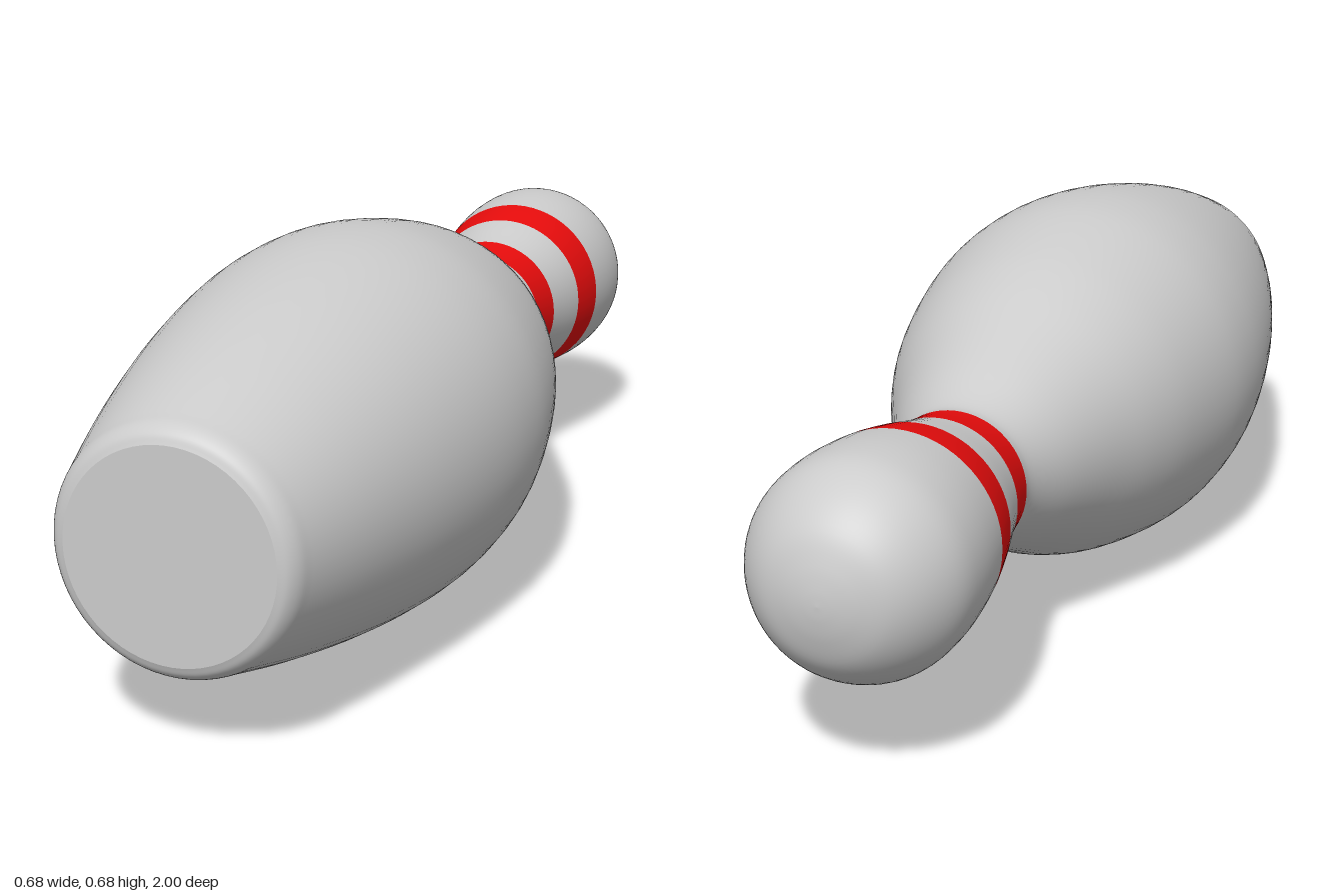
import * as THREE from 'three';

// Pin outline as [distance from base, radius]; stripe edges are control points
const OUTLINE = [
  [0, 0.175], [0.007, 0.19], [0.022, 0.202], [0.05, 0.211], [0.2, 0.255], [0.4, 0.302], [0.58, 0.331],
  [0.7, 0.339], [0.82, 0.333], [1, 0.296], [1.1, 0.262], [1.2, 0.218], [1.3, 0.174], [1.38, 0.138],
  [1.415, 0.128], [1.438, 0.128], [1.513, 0.139], [1.613, 0.163], [1.695, 0.179], [1.8, 0.188],
  [1.87, 0.181], [1.93, 0.15], [1.97, 0.109], [1.99, 0.062], [1.998, 0.025], [2, 0],
];
const AXIS_HEIGHT = 0.339;
const STEPS = 5;

export function createModel() {
  const group = new THREE.Group();
  const grey = new THREE.MeshStandardMaterial({ color: 0xcccccc });
  const red = new THREE.MeshStandardMaterial({ color: 0xe60c0c });
  const curve = new THREE.CatmullRomCurve3(OUTLINE.map(([d, r]) => new THREE.Vector3(r, d, 0)));
  const last = OUTLINE.length - 1;

  // Turn the outline between two distances from the base
  function section(name, from, to, material) {
    const first = OUTLINE.findIndex(([d]) => d === from);
    const end = OUTLINE.findIndex(([d]) => d === to);
    const points = [];
    for (let i = first * STEPS; i <= end * STEPS; i++) {
      const p = curve.getPoint(i / (last * STEPS));
      points.push(new THREE.Vector2(Math.max(0, p.x), p.y - 1));
    }
    add(name, new THREE.LatheGeometry(points, 64).rotateX(-Math.PI / 2), material);
  }

  function add(name, geometry, material) {
    const mesh = new THREE.Mesh(geometry, material);
    mesh.name = name;
    mesh.position.y = AXIS_HEIGHT;
    group.add(mesh);
  }

  // Flat base facing the front
  add('base', new THREE.CircleGeometry(OUTLINE[0][1], 64).translate(0, 0, 1), grey);

  // Belly, striped neck and rounded head
  section('body', 0, 1.438, grey);
  section('lowerStripe', 1.438, 1.513, red);
  section('neck', 1.513, 1.613, grey);
  section('upperStripe', 1.613, 1.695, red);
  section('head', 1.695, 2, grey);

  return group;
}
